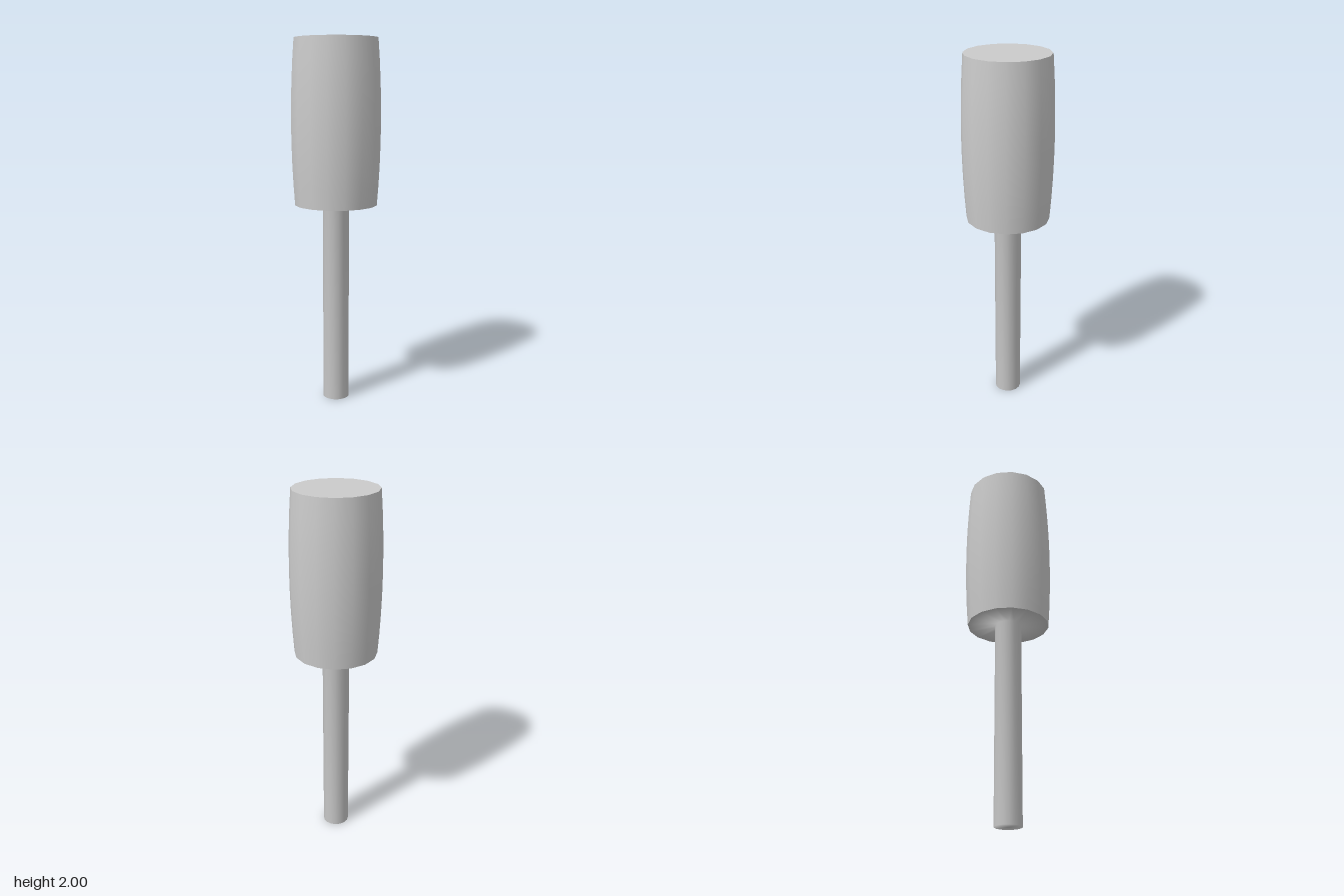
import * as THREE from 'three';

const SIDES = 16;

export function createModel() {
  const group = new THREE.Group();
  const material = new THREE.MeshStandardMaterial({ color: 0xcccccc });

  // Turn a profile of [radius, height] pairs, listed from bottom to top
  const turn = (name, profile) => {
    const points = profile.map(([r, y]) => new THREE.Vector2(r, y));
    const mesh = new THREE.Mesh(new THREE.LatheGeometry(points, SIDES), material);
    mesh.name = name;
    group.add(mesh);
    return mesh;
  };

  const bottom = 1.11, top = 2, endRadius = 0.226;

  // Handle, shaded smoothly into the underside of the head
  turn('handleAndUnderside', [[0, 0], [0.073, 0], [0.073, bottom], [endRadius, bottom]]);

  // Gently bulging barrel-shaped head
  const barrel = [];
  for (let i = 0; i <= 8; i++) {
    const t = i / 8;
    const bulge = 1 - (2 * t - 1) ** 2;
    barrel.push([endRadius + 0.018 * bulge, bottom + (top - bottom) * t]);
  }
  turn('head', barrel);

  // Flat striking face on top
  turn('headTop', [[endRadius, top], [0, top]]);

  return group;
}
